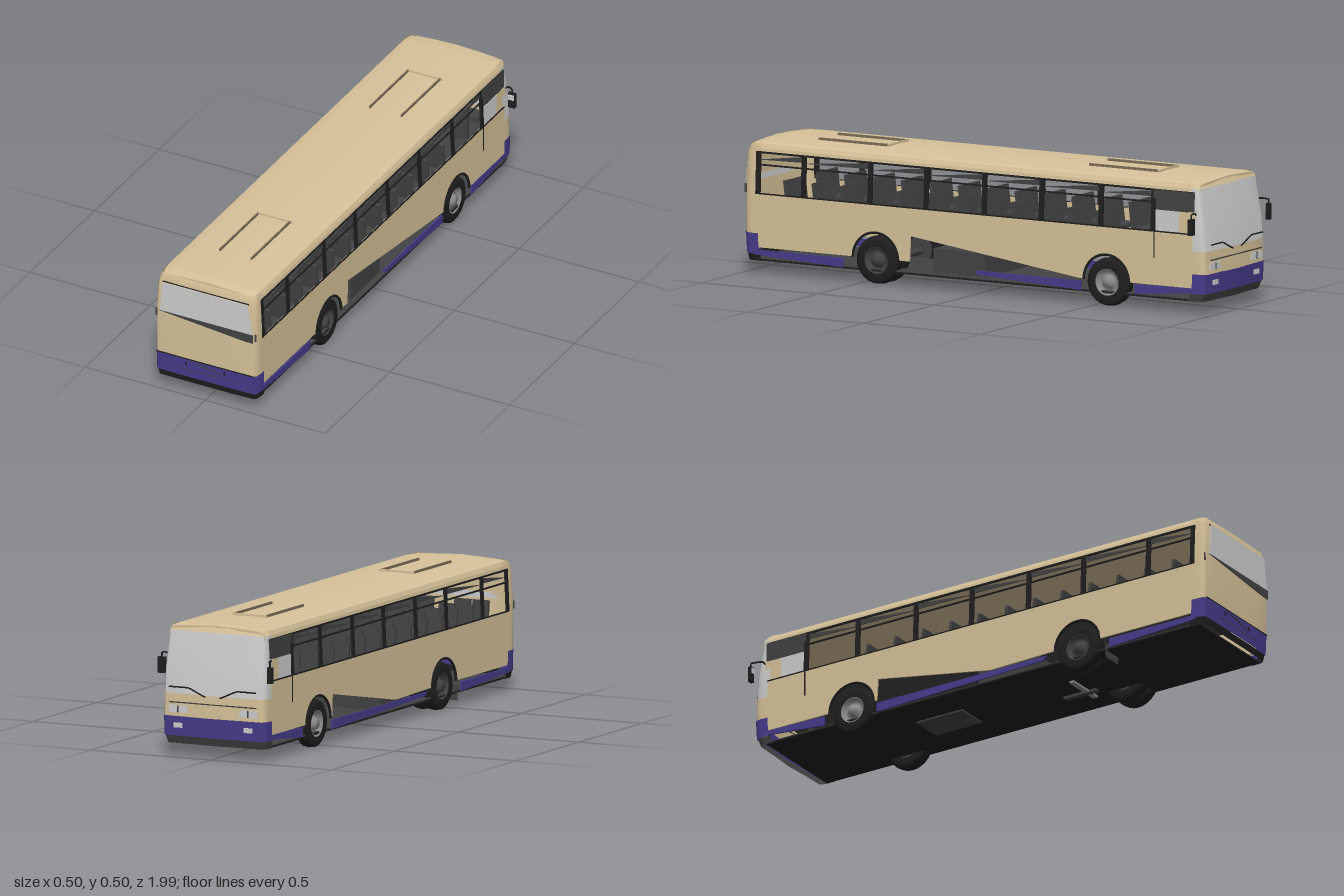
import * as THREE from 'three';

const mat = (name, color) => {
  const m = new THREE.MeshStandardMaterial({ color, side: THREE.DoubleSide });
  m.name = name;
  return m;
};

export function createModel() {
  const cream = mat('cream paint', 0xd8c39a);
  const blue = mat('blue paint', 0x463c8c);
  const glass = mat('pale glass', 0xcfcfcf);
  const black = mat('black rubber', 0x1f1f1f);
  const dark = mat('dark grey', 0x434343);
  const steel = mat('wheel grey', 0x8c8c8c);
  const taupe = mat('roof trim', 0x7d7058);

  const bus = new THREE.Group();
  bus.name = 'bus';
  const add = (name, geo, m, x = 0, y = 0, z = 0) => {
    const mesh = new THREE.Mesh(geo, m);
    mesh.name = name;
    mesh.position.set(x, y, z);
    bus.add(mesh);
    return mesh;
  };
  const box = (name, m, w, h, d, x, y, z) => add(name, new THREE.BoxGeometry(w, h, d), m, x, y, z);
  const shapeOf = (pts) => new THREE.Shape(pts.map((p) => new THREE.Vector2(...p)));
  // Thin panel drawn in (z, y) and stood on one side of the body
  const sidePanel = (name, shape, m, s, x = 0.211, t = 0.006) => {
    const g = new THREE.ExtrudeGeometry(shape, { depth: t, bevelEnabled: false, curveSegments: 16 });
    g.rotateY(-Math.PI / 2);
    return add(name, g, m, s > 0 ? x : -x + t);
  };
  // Thin panel drawn in (x, y) on an end of the body
  const endPlate = (name, pts, m, z) => add(name,
    new THREE.ExtrudeGeometry(shapeOf(pts), { depth: 0.003, bevelEnabled: false }), m, 0, 0, z);

  // End caps: rows of [y, half width, z of face], wrapped round the corners
  const band = (name, rows, s, m) => {
    const half = [[1, 0.06], [1, 0.03], [0.985, 0.012], [0.94, 0.002], [0.5, 0]];
    const bulge = s < 0 ? 0.006 : 0;
    const plan = [...half.map(([x, d]) => [-x, d]), [0, -bulge], ...half.slice().reverse()];
    const pos = [], idx = [], n = plan.length;
    rows.forEach(([y, w, z]) => plan.forEach(([x, d]) => pos.push(x * w, y, z - s * d)));
    for (let r = 0; r < rows.length - 1; r++) {
      for (let i = 0; i < n - 1; i++) {
        const a = r * n + i, b = a + 1, c = a + n, d = c + 1;
        if (s > 0) idx.push(a, b, d, a, d, c);
        else idx.push(a, d, b, a, c, d);
      }
    }
    const g = new THREE.BufferGeometry();
    g.setAttribute('position', new THREE.Float32BufferAttribute(pos, 3));
    g.setIndex(idx);
    g.computeVertexNormals();
    return add(name, g, m);
  };

  // Window end with bumper (+z)
  band('rearSkirt', [[0.05, 0.207, 0.982], [0.076, 0.21, 0.987]], 1, black);
  band('rearBumper', [[0.076, 0.212, 0.99], [0.152, 0.212, 0.994]], 1, blue);
  band('rearPanel', [[0.152, 0.211, 0.992], [0.33, 0.211, 0.995], [0.455, 0.204, 0.99], [0.484, 0.196, 0.98]], 1, cream);
  endPlate('rearWindow', [[-0.187, 0.333], [0.196, 0.333], [0.176, 0.453], [-0.178, 0.453]], glass, 0.994);
  endPlate('rearWindowShade', [[-0.19, 0.332], [0.2, 0.332], [0.2, 0.298], [0.17, 0.298]], dark, 0.995);
  endPlate('bumperCrease', [[-0.075, 0.146], [0.0, 0.136], [0.07, 0.121], [0, 0.14]], dark, 0.993);
  box('rearRoofSeam', black, 0.36, 0.003, 0.004, 0, 0.455, 0.99);
  box('bumperSeam', black, 0.4, 0.003, 0.004, 0, 0.153, 0.993);
  box('bumperLine', dark, 0.24, 0.002, 0.004, 0.01, 0.108, 0.991);
  for (const s of [-1, 1]) {
    box('rearHandle', black, 0.006, 0.016, 0.004, s * 0.079, 0.132, 0.993);
    box('rearLamp', dark, 0.012, 0.03, 0.004, s * 0.203, 0.317, 0.987);
  }

  // Windscreen end (-z)
  band('frontSkirt', [[0.05, 0.205, -0.97], [0.08, 0.21, -0.98]], -1, dark);
  band('frontBumper', [[0.08, 0.212, -0.985], [0.153, 0.212, -0.989]], -1, blue);
  band('frontPanel', [[0.153, 0.211, -0.987], [0.237, 0.211, -0.985]], -1, cream);
  band('windscreen', [[0.237, 0.211, -0.985], [0.33, 0.21, -0.978], [0.468, 0.202, -0.958]], -1, glass);
  band('frontBrow', [[0.468, 0.202, -0.958], [0.487, 0.194, -0.95]], -1, cream);
  box('grilleLine', dark, 0.36, 0.004, 0.004, 0, 0.205, -0.99);
  for (const s of [-1, 1]) {
    box('headlight', glass, 0.075, 0.026, 0.008, s * 0.145, 0.18, -0.986);
    box('headlightGap', dark, 0.004, 0.026, 0.01, s * 0.145, 0.18, -0.986);
    box('fogLamp', glass, 0.035, 0.018, 0.008, s * 0.145, 0.12, -0.987);
    const arm = new THREE.CatmullRomCurve3([[0.18, 0.262], [0.1, 0.262], [0.05, 0.24], [0.03, 0.232]]
      .map(([x, y]) => new THREE.Vector3(s * x, y, -0.993)), false, 'catmullrom', 0.1);
    add('wiper', new THREE.TubeGeometry(arm, 12, 0.003, 5), black);
  }

  // Roof: crowned section, drawn in at both ends
  const crown = [[-0.204, 0.455], [0.204, 0.455], [0.202, 0.468], [0.195, 0.484], [0.17, 0.488], [0.09, 0.493],
    [0, 0.496], [-0.09, 0.493], [-0.17, 0.488], [-0.195, 0.484], [-0.202, 0.468]];
  const roof = new THREE.ExtrudeGeometry(shapeOf(crown), { depth: 1.93, steps: 50, bevelEnabled: false });
  roof.translate(0, 0, -0.953);
  const rp = roof.attributes.position;
  for (let i = 0; i < rp.count; i++) {
    const end = Math.max(0, Math.abs(rp.getZ(i)) - 0.93) / 0.05;
    rp.setX(i, rp.getX(i) * (1 - 0.06 * end));
    rp.setY(i, rp.getY(i) - 0.006 * end);
  }
  roof.computeVertexNormals();
  add('roof', roof, cream);
  for (const z of [-0.7, 0.46]) {
    for (const s of [-1, 1]) box('hatchRail', taupe, 0.005, 0.012, 0.3, s * 0.066, 0.497, z + 0.15);
    box('hatchEnd', cream, 0.145, 0.01, 0.005, 0, 0.498, z);
  }

  // Side walls, wheel arches and window frames
  const pillars = [0.935, 0.74, 0.455, 0.215, -0.035, -0.28, -0.535, -0.76];
  for (const s of [1, -1]) {
    const wall = new THREE.Shape();
    wall.moveTo(-0.93, 0.3);
    wall.lineTo(-0.93, 0.1);
    wall.lineTo(-0.66, 0.1);
    wall.absarc(-0.56, 0.1, 0.1, Math.PI, 0, true);
    const edge = s > 0 ? [[-0.44, 0.1], [0.28, 0.195], [0.285, 0.1]] : [[-0.45, 0.1], [-0.445, 0.185], [0.05, 0.095]];
    edge.forEach((p) => wall.lineTo(...p));
    wall.lineTo(0.33, 0.1);
    wall.absarc(0.43, 0.1, 0.1, Math.PI, 0, true);
    wall.lineTo(0.94, 0.1);
    wall.lineTo(0.94, 0.3);
    sidePanel('sideWall', wall, cream, s);
    sidePanel('rearBlueSkirt', shapeOf([[0.95, 0.09], [0.95, 0.072], [0.57, 0.055], [0.57, 0.09]]), blue, s);
    sidePanel('frontBlueSkirt', shapeOf([[-0.68, 0.095], [-0.68, 0.058], [-0.95, 0.085], [-0.95, 0.1]]), blue, s);
    sidePanel('middleBlueSkirt', shapeOf([[-0.45, 0.09], [-0.45, 0.055], [s > 0 ? 0 : 0.28, 0.075], [s > 0 ? 0 : 0.3, 0.09]]), blue, s);

    // Window posts lean in with the upper body
    for (const z of pillars) {
      box('windowPost', black, 0.006, 0.158, 0.02, s * 0.206, 0.377, z).rotation.z = s * 0.045;
    }
    box('windowSill', black, 0.004, 0.005, 1.87, s * 0.21, 0.3, 0.005);
    box('gutter', black, 0.006, 0.007, 1.87, s * 0.203, 0.453, 0.005);
    box('hopperRail', black, 0.004, 0.006, 1.69, s * 0.205, 0.407, 0.09);
    for (let i = 0; i < pillars.length - 1; i++) {
      const a = pillars[i], b = pillars[i + 1];
      sidePanel('hopperPane', shapeOf([[a, 0.425], [b, 0.45], [b, 0.428]]), dark, s, 0.204, 0.003);
    }
    // Cab window
    sidePanel('cabShade', shapeOf([[-0.76, 0.38], [-0.935, 0.38], [-0.935, 0.455], [-0.76, 0.455]]), dark, s, 0.207);
    sidePanel('cabGlass', shapeOf([[-0.77, 0.3], [-0.87, 0.3], [-0.87, 0.38], [-0.77, 0.38]]), glass, s, 0.209);
    sidePanel('cabCorner', shapeOf([[-0.87, 0.3], [-0.94, 0.3], [-0.94, 0.38], [-0.87, 0.38]]), cream, s, 0.209);
    box('doorSeam', black, 0.003, 0.1, 0.005, s * 0.211, 0.25, -0.765);

    for (const z of [-0.56, 0.43]) {
      const arch = add('archTrim', new THREE.TorusGeometry(0.098, 0.005, 6, 20, Math.PI), black, s * 0.21, 0.098, z);
      arch.rotation.y = Math.PI / 2;
    }
    // Mirrors hang on a short bent arm
    const mx = s > 0 ? 0.237 : -0.235, mz = s > 0 ? -0.94 : -0.985;
    box('mirror', black, s > 0 ? 0.028 : 0.02, 0.06, 0.014, mx, 0.331, mz);
    box('mirrorGlass', glass, s > 0 ? 0.022 : 0.015, 0.022, 0.004, mx, 0.345, mz + 0.007);
    const arm = new THREE.CatmullRomCurve3([[0.2, 0.368, -0.94], [0.218, 0.38, -0.945], [Math.abs(mx), 0.377, mz], [Math.abs(mx), 0.355, mz]]
      .map(([x, y, z]) => new THREE.Vector3(s * x, y, z)), false, 'catmullrom', 0.2);
    add('mirrorArm', new THREE.TubeGeometry(arm, 12, 0.0035, 5), black);
  }

  // Wheels: rounded tyre and dished hub, doubled on the rear axle
  const lathe = (pts) => new THREE.LatheGeometry(pts.map((p) => new THREE.Vector2(...p)), 28).rotateZ(-Math.PI / 2);
  const tyre = lathe([[0.05, -0.024], [0.075, -0.026], [0.087, -0.018], [0.09, 0], [0.087, 0.018], [0.075, 0.026], [0.05, 0.024]]);
  const hub = lathe([[0.052, 0.022], [0.046, 0.023], [0.04, 0.008], [0.024, 0.008], [0.02, 0.024], [0, 0.026]]);
  const inner = new THREE.CylinderGeometry(0.051, 0.051, 0.03, 20).rotateZ(Math.PI / 2);
  const wheel = (s, x, z, m) => {
    add('tyre', tyre, black, s * x, 0.092, z);
    add('wheelDisc', inner, dark, s * x - s * 0.008, 0.092, z);
    add('hub', hub, m, s * x, 0.092, z).rotation.y = s > 0 ? 0 : Math.PI;
  };
  for (const s of [-1, 1]) {
    wheel(s, 0.182, -0.56, steel);
    wheel(s, 0.182, 0.43, dark);
    wheel(s, 0.13, 0.43, dark);
  }
  for (const z of [-0.56, 0.43]) {
    add('axle', new THREE.CylinderGeometry(0.014, 0.014, 0.3, 10).rotateZ(Math.PI / 2), dark, 0, 0.085, z);
  }
  endPlate('mudflap', [[-0.203, 0.022], [-0.125, 0.022], [-0.115, 0.08], [-0.205, 0.08]], dark, 0.55);

  // Underside and passenger floor
  box('underside', black, 0.405, 0.006, 1.9, 0, 0.053, 0.01);
  box('undersideTop', dark, 0.4, 0.004, 1.88, 0, 0.058, 0.01);
  box('floor', dark, 0.405, 0.006, 1.86, 0, 0.21, 0);
  box('sideLocker', dark, 0.36, 0.09, 0.22, 0, 0.107, 0.09);
  box('exhaust', dark, 0.02, 0.01, 0.14, 0.06, 0.045, 0.27);
  box('crossBeam', steel, 0.16, 0.008, 0.02, 0.03, 0.046, 0.3);
  box('skidFrame', dark, 0.13, 0.008, 0.2, 0, 0.048, -0.27);

  // Seats in rows of four
  for (let i = 0; i < 12; i++) {
    const z = 0.83 - i * 0.122;
    for (const x of [-0.152, -0.077, 0.077, 0.152]) {
      box('seatBack', dark, 0.066, 0.11, 0.012, x, 0.297, z).rotation.x = 0.12;
      box('seatCushion', dark, 0.066, 0.014, 0.06, x, 0.25, z - 0.035);
      box('seatLeg', black, 0.012, 0.04, 0.03, x, 0.228, z - 0.03);
    }
  }
  // Cab
  box('driverSeat', dark, 0.07, 0.13, 0.014, 0.11, 0.29, -0.77);
  box('dashboard', dark, 0.38, 0.05, 0.05, 0, 0.215, -0.93);

  bus.position.x = -0.003;
  const model = new THREE.Group();
  model.name = 'model';
  model.add(bus);
  return model;
}
